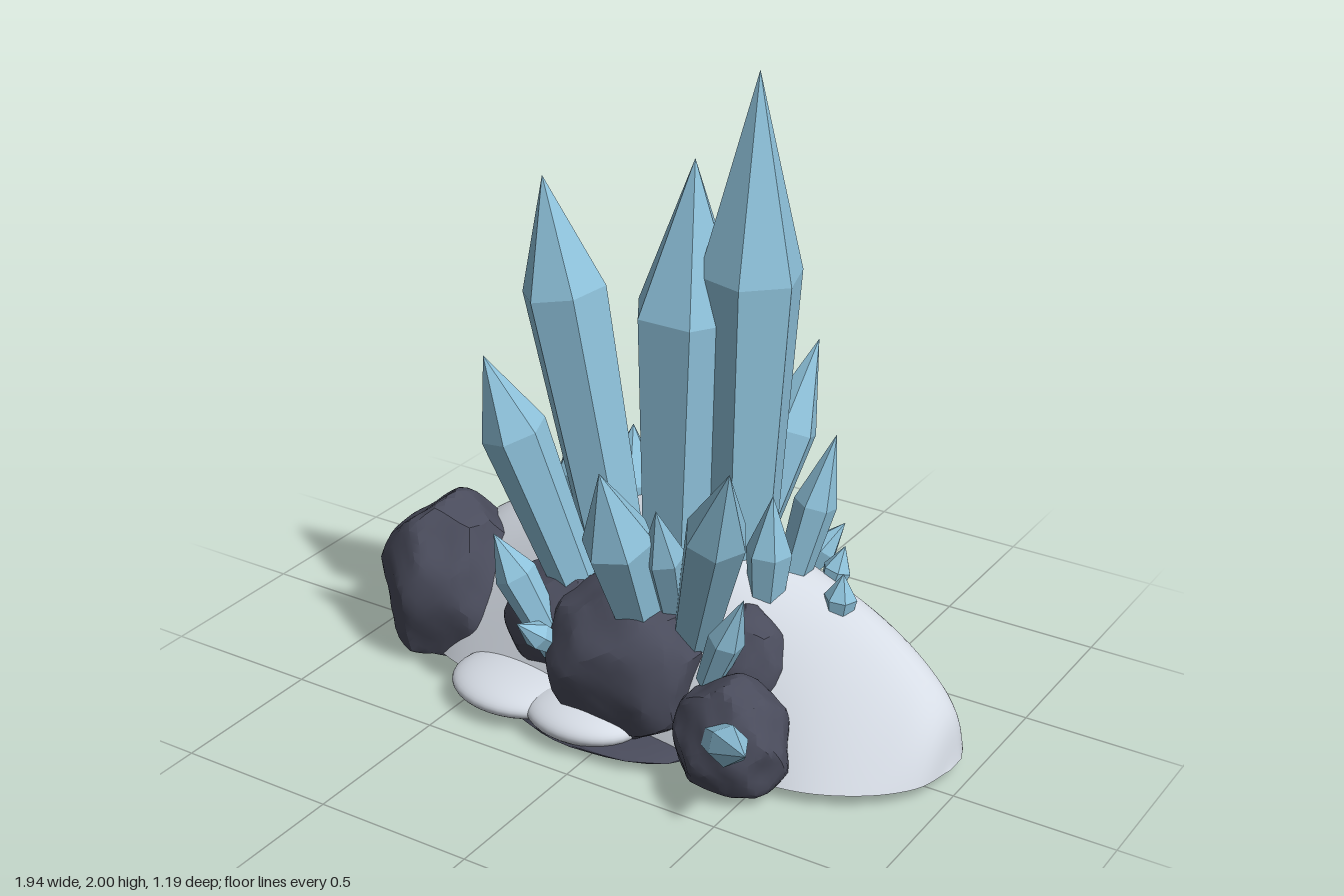
import * as THREE from 'three';
import { toCreasedNormals } from 'three/addons/utils/BufferGeometryUtils.js';

const crystalBlue = new THREE.MeshStandardMaterial({ color: 0x8fc3dc });
const snowWhite = new THREE.MeshStandardMaterial({ color: 0xd6dce5, side: THREE.DoubleSide });
const rockGrey = new THREE.MeshStandardMaterial({ color: 0x4a4c5c });
const V = (x, y, z) => new THREE.Vector3(x, y, z);

function seeded(seed) {
  let s = seed * 7919 + 13;
  return () => (s = (s * 16807) % 2147483647) / 2147483647;
}

function part(name, geometry, material) {
  const mesh = new THREE.Mesh(geometry, material);
  mesh.name = name;
  return mesh;
}

// Six-sided shard, widening from its root to a shoulder, then pointed
function crystal(root, tip, radius, shoulder, turn) {
  const axis = tip.clone().sub(root);
  const length = axis.length();
  const profile = [[0, 0], [0.7 * radius, 0], [radius, shoulder * length], [0, length]];
  let geo = new THREE.LatheGeometry(profile.map(([r, y]) => new THREE.Vector2(r, y)), 6);
  geo.rotateY(turn);
  geo = geo.toNonIndexed();
  geo.computeVertexNormals();
  const mesh = part('crystal', geo, crystalBlue);
  mesh.position.copy(root);
  mesh.quaternion.setFromUnitVectors(V(0, 1, 0), axis.normalize());
  return mesh;
}

// Named cluster of crystals, each given as root, tip, radius and shoulder height (share of length)
function cluster(name, list) {
  const group = new THREE.Group();
  group.name = name;
  list.forEach(([root, tip, radius, shoulder = 0.52], i) =>
    group.add(crystal(root, tip, radius, shoulder, 0.3 + i * 1.3)));
  return group;
}

// Boulder: a lumpy ball chiselled by seeded planes and cut level at the ground
function boulder(center, size, seed, floor = 0.03) {
  const rand = seeded(seed);
  const planes = Array.from({ length: 24 }, (_, i) => {
    const y = 1 - (2 * (i + 0.5)) / 24;
    const a = i * 2.4 + rand() * 0.9;
    const r = Math.sqrt(1 - y * y);
    return { n: V(r * Math.cos(a), y, r * Math.sin(a)), d: 0.9 + rand() * 0.14 };
  });
  const geo = new THREE.IcosahedronGeometry(1, 8);
  const pos = geo.attributes.position;
  const p = V(0, 0, 0);
  for (let i = 0; i < pos.count; i++) {
    p.fromBufferAttribute(pos, i).normalize();
    let reach = 1.07;
    for (const { n, d } of planes) {
      const c = n.dot(p);
      if (c > 0.3) reach = Math.min(reach, d / c);
    }
    reach *= 1 + 0.03 * Math.sin(6 * p.x + seed) * Math.sin(7 * p.y + 2 * seed) * Math.cos(6 * p.z);
    p.multiplyScalar(reach).multiply(size).add(center);
    pos.setXYZ(i, p.x, Math.max(p.y, floor), p.z);
  }
  return part('boulder', toCreasedNormals(geo, 0.4), rockGrey);
}

// Snow bank lofted along x from a few cross-sections
function snowBank() {
  // x, back z, front z, height above base, front slope power
  const stations = [
    [-0.92, -0.17, -0.09, 0.0, 2], [-0.87, -0.26, 0.03, 0.17, 2], [-0.72, -0.33, 0.17, 0.35, 2],
    [-0.5, -0.375, 0.24, 0.46, 2], [-0.2, -0.385, 0.26, 0.53, 2.8], [0.1, -0.38, 0.27, 0.56, 3.2],
    [0.38, -0.36, 0.29, 0.47, 2.1], [0.62, -0.33, 0.28, 0.38, 1.5], [0.8, -0.28, 0.2, 0.27, 1.5],
    [0.92, -0.21, 0.08, 0.15, 2], [0.96, -0.13, -0.06, 0.0, 2],
  ];
  const plan = new THREE.CatmullRomCurve3(stations.map(s => V(s[0], s[1], s[2])), false, 'catmullrom');
  const rise = new THREE.CatmullRomCurve3(stations.map(s => V(s[0], s[3], s[4])), false, 'catmullrom');
  const rows = 60, cols = 28, verts = [], index = [];
  for (let i = 0; i <= rows; i++) {
    const a = plan.getPoint(i / rows), b = rise.getPoint(i / rows);
    const crest = a.y + (a.z - a.y) * 0.33;
    for (let j = 0; j <= cols; j++) {
      const u = Math.sin((j / cols - 0.5) * Math.PI);
      const z = crest + u * (u < 0 ? crest - a.y : a.z - crest);
      const y = 0.04 + Math.max(0, b.y) * (1 - Math.pow(Math.abs(u), u < 0 ? 3 : b.z));
      verts.push(a.x, y, z);
      if (i < rows && j < cols) {
        const k = i * (cols + 1) + j, m = k + cols + 1;
        index.push(k, k + 1, m, m, k + 1, m + 1);
      }
    }
  }
  const geo = new THREE.BufferGeometry();
  geo.setAttribute('position', new THREE.Float32BufferAttribute(verts, 3));
  geo.setIndex(index);
  geo.computeVertexNormals();
  return part('snowBank', geo, snowWhite);
}

export function createModel() {
  const model = new THREE.Group();
  model.name = 'crystalOutcrop';
  model.add(snowBank());

  // Low domed snow drifts: x, z, half width, half depth
  const drifts = new THREE.Group();
  drifts.name = 'snowDrifts';
  for (const [x, z, w, d] of [[-0.35, 0.24, 0.22, 0.18], [-0.08, 0.29, 0.19, 0.14], [0.42, -0.36, 0.19, 0.15]]) {
    const dome = new THREE.SphereGeometry(1, 32, 16, 0, Math.PI * 2, 0, Math.PI * 0.65);
    const drift = part('snowDrift', dome, snowWhite);
    drift.scale.set(w, 0.06, d);
    drift.position.set(x, 0.068, z);
    drifts.add(drift);
  }
  model.add(drifts);

  // Boulders: centre, half size
  const rocks = new THREE.Group();
  rocks.name = 'boulders';
  [
    [V(-0.75, 0.2, 0.03), V(0.215, 0.3, 0.22)],
    [V(0, 0.23, 0.18), V(0.27, 0.27, 0.2)],
    [V(-0.25, 0.28, 0.13), V(0.19, 0.18, 0.15)],
    [V(0.43, 0.15, 0.28), V(0.17, 0.185, 0.155)],
    [V(0.36, 0.27, 0.08), V(0.13, 0.18, 0.13)],
    [V(0.05, 0.22, -0.33), V(0.25, 0.25, 0.18)],
  ].forEach(([c, s], i) => rocks.add(boulder(c, s, i + 3)));
  const base = boulder(V(-0.05, 0.035, 0.02), V(0.48, 0.035, 0.37), 21, 0);
  base.name = 'bedrock';
  rocks.add(base);
  model.add(rocks);

  model.add(cluster('tallCrystals', [
    [V(0.2, 0.35, -0.12), V(0.245, 2.0, -0.13), 0.155, 0.64],
    [V(0.04, 0.35, -0.05), V(0.07, 1.73, -0.08), 0.17, 0.67],
    [V(-0.12, 0.35, 0.01), V(-0.345, 1.65, 0.075), 0.13, 0.74],
  ]));
  model.add(cluster('ringCrystals', [
    [V(-0.2, 0.36, 0.12), V(-0.42, 1.15, 0.28), 0.1, 0.7],
    [V(0.2, 0.32, 0.13), V(0.465, 1.04, 0.38), 0.095, 0.66],
    [V(0.07, 0.4, 0.21), V(0.05, 0.94, 0.39), 0.11, 0.55],
    [V(0.15, 0.4, 0.15), V(0.18, 0.82, 0.3), 0.065, 0.6],
    [V(0.09, 0.33, -0.32), V(0.2, 1.03, -0.6), 0.095, 0.62],
    [V(-0.24, 0.4, -0.21), V(-0.25, 0.77, -0.25), 0.095],
    [V(0.35, 0.4, -0.03), V(0.37, 0.78, -0.03), 0.07],
    [V(0.36, 0.38, -0.13), V(0.465, 0.92, -0.23), 0.065, 0.6],
    [V(-0.2, 0.23, 0.25), V(-0.38, 0.6, 0.31), 0.065, 0.66],
    [V(0.39, 0.18, 0.34), V(0.65, 0.33, 0.59), 0.06],
  ]));
  model.add(cluster('smallCrystals', [
    [V(-0.06, 0.38, -0.37), V(-0.08, 0.62, -0.42), 0.085],
    [V(-0.42, 0.45, -0.18), V(-0.43, 0.73, -0.18), 0.055],
    [V(-0.29, 0.24, -0.32), V(-0.3, 0.22, -0.43), 0.07],
    [V(-0.4, 0.36, -0.28), V(-0.42, 0.45, -0.34), 0.04],
    [V(0.3, 0.37, -0.33), V(0.41, 0.54, -0.41), 0.05],
    [V(0.46, 0.4, -0.22), V(0.49, 0.55, -0.26), 0.045],
    [V(0.55, 0.38, -0.11), V(0.56, 0.54, -0.12), 0.05],
    [V(0.31, 0.27, 0.22), V(0.44, 0.59, 0.25), 0.055],
    [V(-0.18, 0.26, 0.27), V(-0.24, 0.38, 0.4), 0.045],
  ]));
  return model;
}
